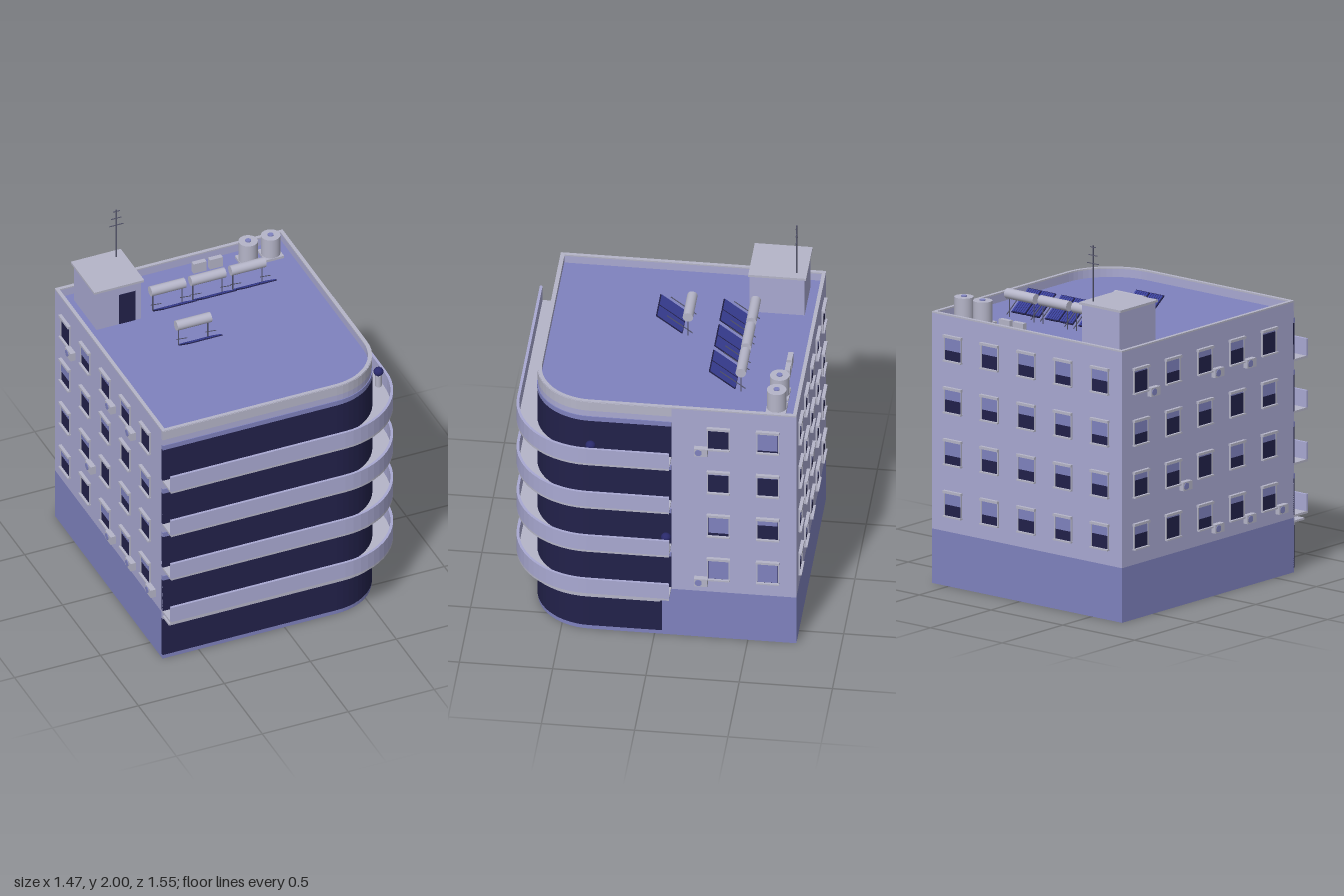
import * as THREE from 'three';

const mat = (name, color) => {
  const m = new THREE.MeshStandardMaterial({ color });
  m.name = name;
  return m;
};

export function createModel() {
  const wall = mat('lavender wall', 0xa9a9d2);
  const grey = mat('pale concrete', 0xb5b5c8);
  const blue = mat('mid blue', 0x7f82be);
  const dark = mat('dark glass', 0x22214a);
  const tubeBlue = mat('collector blue', 0x3a409a);
  const leaf = mat('dark foliage', 0x2a2a6c);
  const metal = mat('dark metal', 0x55566c);

  const root = new THREE.Group();
  root.name = 'apartmentBlock';
  const group = (name, parent = root) => {
    const g = new THREE.Group();
    g.name = name;
    parent.add(g);
    return g;
  };
  const add = (name, geo, m, x, y, z, parent = root) => {
    const mesh = new THREE.Mesh(geo, m);
    mesh.name = name;
    mesh.position.set(x, y, z);
    parent.add(mesh);
    return mesh;
  };
  const box = (name, w, h, d, m, x, y, z, parent) =>
    add(name, new THREE.BoxGeometry(w, h, d), m, x, y, z, parent);
  const cyl = (name, r, h, m, x, y, z, parent, n = 20) =>
    add(name, new THREE.CylinderGeometry(r, r, h, n), m, x, y, z, parent);

  // Plan outline: left front end, along the front, round the corner, back along the side
  const X0 = -0.71, X1 = 0.615, Z0 = -0.76, Z1 = 0.66, R = 0.31, STEPS = 14;
  const outline = (o, zEnd) => {
    const pts = [new THREE.Vector2(X0, -(Z1 + o))];
    for (let i = 0; i <= STEPS; i++) {
      const a = (1 - i / STEPS) * Math.PI / 2;
      pts.push(new THREE.Vector2(X1 - R + (R + o) * Math.cos(a), -(Z1 - R + (R + o) * Math.sin(a))));
    }
    pts.push(new THREE.Vector2(X1 + o, -zEnd));
    return pts;
  };
  const rise = (name, shape, y0, y1, m, parent) => {
    const geo = new THREE.ExtrudeGeometry(shape, { depth: y1 - y0, bevelEnabled: false });
    geo.rotateX(-Math.PI / 2);
    return add(name, geo, m, 0, y0, 0, parent);
  };
  // Strip that follows the front and the rounded corner
  const band = (name, oIn, oOut, y0, y1, zEnd, m, parent) =>
    rise(name, new THREE.Shape([...outline(oOut, zEnd), ...outline(oIn, zEnd).reverse()]), y0, y1, m, parent);
  const footprint = () => new THREE.Shape([...outline(0, Z0), new THREE.Vector2(X0, -Z0)]);
  const ring = (t) => {
    const s = footprint();
    const inner = outline(-t, Z0 + t);
    inner[0].x = X0 + t;
    s.holes.push(new THREE.Path([...inner, new THREE.Vector2(X0 + t, -(Z0 + t))].reverse()));
    return s;
  };

  // Main body, roof deck and parapet
  rise('groundFloor', footprint(), 0, 0.3, blue);
  rise('upperFloors', footprint(), 0.3, 1.44, [blue, wall]);
  rise('roofParapet', ring(0.018), 1.44, 1.485, wall);
  rise('parapetCoping', ring(0.02), 1.485, 1.493, grey);
  band('roofFascia', -0.01, 0.003, 1.435, 1.49, -0.09, grey);

  // Shop front and canopy
  band('shopGlass', -0.01, 0.003, 0.025, 0.26, -0.04, dark);
  band('shopLintel', -0.01, 0.003, 0.26, 0.3, -0.04, wall);
  band('canopy', 0, 0.085, 0.272, 0.283, -0.04, grey);

  // Balconies with window bands behind them
  const PITCH = 0.285;
  for (let f = 0; f < 4; f++) {
    const y = 0.303 + f * PITCH;
    const g = group('balconyFloor' + (f + 1));
    band('windowBand', -0.01, 0.004, y + 0.012, y + 0.212, -0.09, dark, g);
    band('blindBand', -0.01, 0.005, y + 0.212, y + 0.24, -0.09, blue, g);
    band('balconySlab', 0, 0.115, y, y + 0.012, -0.09, grey, g);
    band('balconyParapet', 0.1, 0.115, y + 0.012, y + 0.105, -0.09, wall, g);
  }

  // Window with blind box, sill, jambs and a partly lowered shutter
  const W = 0.115, H = 0.13;
  const windowAt = (side, u, f, drop) => {
    const g = group('window', side);
    g.position.set(u, 0.387 + f * PITCH, 0);
    box('glass', W, H, 0.006, dark, 0, H / 2, 0.001, g);
    box('shutter', W - 0.008, H * drop, 0.008, blue, 0, H * (1 - drop / 2), 0.002, g);
    box('blindBox', W + 0.01, 0.014, 0.018, grey, 0, H + 0.003, 0.009, g);
    box('sill', W + 0.008, 0.008, 0.018, grey, 0, -0.002, 0.009, g);
    for (const s of [-1, 1]) box('jamb', 0.005, H, 0.01, grey, s * W / 2, H / 2, 0.004, g);
  };
  // Wall-mounted cooling unit with a round fan
  const coolerAt = (side, u, f) => {
    const g = group('coolingUnit', side);
    g.position.set(u, 0.374 + f * PITCH, 0);
    box('casing', 0.072, 0.048, 0.03, grey, 0, 0, 0.016, g);
    cyl('fan', 0.019, 0.004, blue, -0.012, 0, 0.032, g, 14).rotation.x = Math.PI / 2;
  };
  const wallSide = (name, x, z, turn) => {
    const g = group(name);
    g.position.set(x, 0, z);
    g.rotation.y = turn;
    return g;
  };

  const rightSide = wallSide('leftWallFittings', X1, 0, Math.PI / 2);
  const drops = [[0.97, 0.97], [0.85, 0.3], [0.12, 0.12], [0.1, 0.9]];
  drops.forEach((d, f) => {
    windowAt(rightSide, 0.343, f, d[0]);
    windowAt(rightSide, 0.607, f, d[1]);
  });
  for (const f of [0, 3]) coolerAt(rightSide, 0.25, f);

  const backSide = wallSide('backWallFittings', 0, Z0, Math.PI);
  const farSide = wallSide('rightWallFittings', X0, 0, -Math.PI / 2);
  for (let f = 0; f < 4; f++) {
    for (let i = 0; i < 5; i++) {
      windowAt(backSide, 0.56 - i * 0.256, f, 0.42 + ((i * 3 + f * 2) % 5) * 0.05);
      windowAt(farSide, -0.61 + i * 0.264, f, [0.4, 0.12, 0.55, 0.3][(i + f * 3) % 4]);
    }
  }
  for (const [i, f] of [[0, 3], [1, 1], [2, 3], [2, 0], [3, 3], [3, 0], [4, 0]])
    coolerAt(farSide, -0.517 + i * 0.264, f);

  // Stair house with door and aerial
  const house = group('stairHouse');
  box('houseWalls', 0.26, 0.24, 0.295, wall, -0.5, 1.56, -0.538, house);
  box('houseRoof', 0.29, 0.013, 0.31, grey, -0.5, 1.685, -0.54, house);
  box('door', 0.095, 0.19, 0.006, dark, -0.452, 1.537, -0.39, house);
  const aerial = group('aerial');
  cyl('mast', 0.004, 0.31, metal, -0.405, 1.845, -0.638, aerial, 8);
  [0.08, 0.06, 0.04].forEach((w, i) =>
    box('crossbar', w, 0.004, 0.004, metal, -0.405, 1.9 + i * 0.045, -0.638, aerial));

  // Solar water heaters
  const heater = (x, z) => {
    const g = group('solarHeater');
    g.position.set(x, 0, z);
    cyl('tank', 0.028, 0.2, grey, 0, 1.569, 0, g).rotation.z = Math.PI / 2;
    for (const s of [-1, 1]) {
      cyl('leg', 0.003, 0.11, metal, s * 0.085, 1.493, 0, g, 6);
      const brace = box('brace', 0.004, 0.004, 0.17, metal, s * 0.085, 1.51, 0.045, g);
      brace.rotation.x = -0.64;
      const panel = group('collector', g);
      panel.position.set(s * 0.05, 1.512, 0.1);
      panel.rotation.x = -0.64;
      box('backing', 0.094, 0.006, 0.175, dark, 0, 0, 0, panel);
      for (let i = 0; i < 6; i++)
        box('tube', 0.011, 0.006, 0.165, tubeBlue, -0.038 + i * 0.0152, 0.004, 0, panel);
    }
  };
  for (const [x, z] of [[-0.2, -0.432], [0.033, -0.432], [0.266, -0.432], [-0.2, -0.092]]) heater(x, z);

  // Water tanks and roof condensers
  for (const x of [0.362, 0.493]) {
    const g = group('waterTank');
    box('pad', 0.108, 0.015, 0.108, grey, x, 1.447, -0.64, g);
    cyl('drum', 0.052, 0.118, grey, x, 1.512, -0.64, g, 24);
    cyl('cap', 0.016, 0.008, blue, x, 1.573, -0.64, g, 14);
  }
  for (const x of [0.087, 0.182]) box('roofCondenser', 0.075, 0.06, 0.028, grey, x, 1.47, -0.663);

  // Potted shrubs on the balconies
  for (const [z, f] of [[0.335, 3], [-0.07, 1]]) {
    const y = 0.315 + f * PITCH;
    const g = group('pottedShrub');
    cyl('pot', 0.018, 0.07, grey, 0.69, y + 0.035, z, g, 10);
    const bush = add('bush', new THREE.IcosahedronGeometry(0.028, 1), leaf, 0.69, y + 0.092, z, g);
    bush.scale.y = 0.9;
  }
  return root;
}
